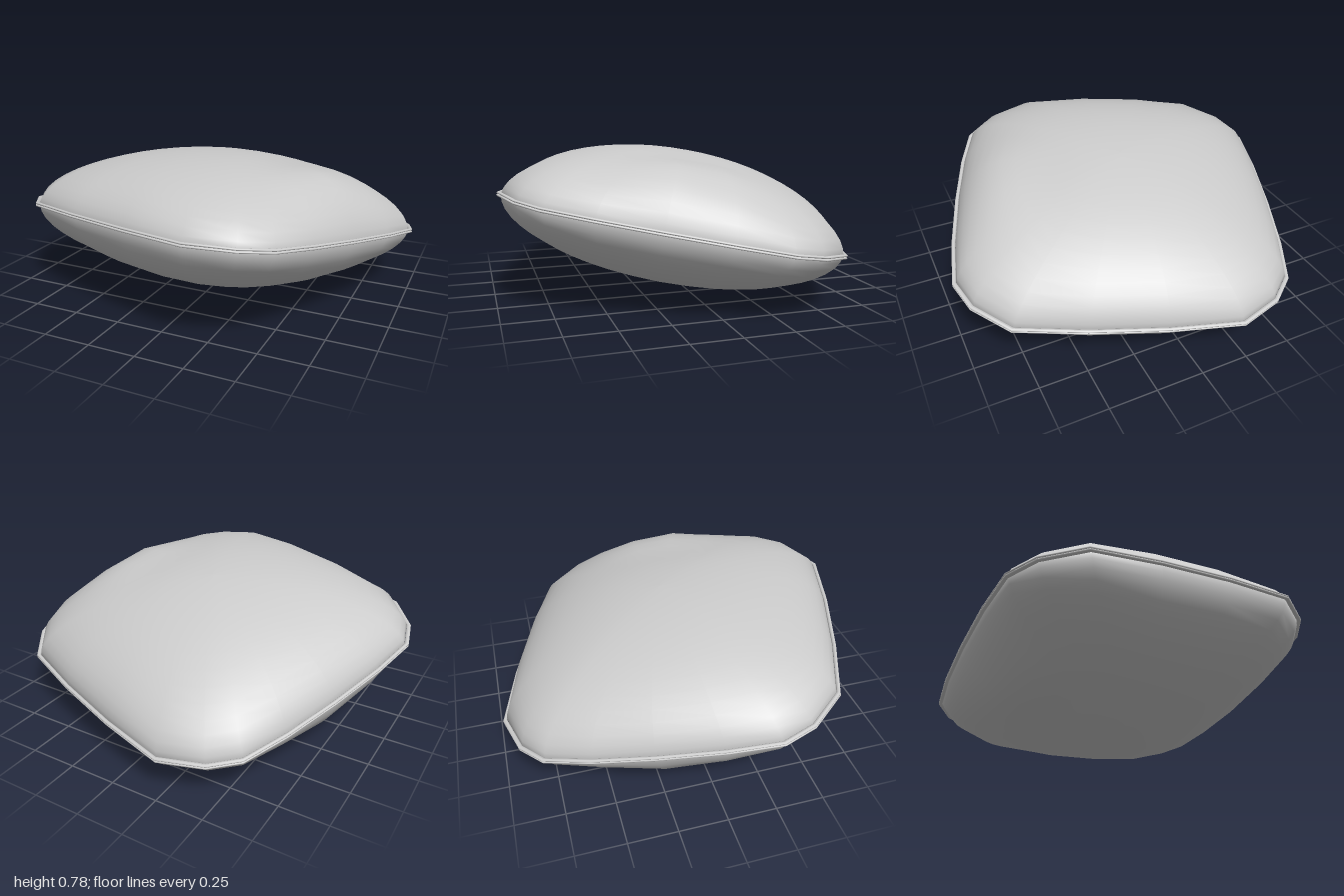
import * as THREE from 'three';

// Half of the seam outline (x, z); the other half is its 180 degree turn
const HALF = [
  [-0.24, -0.98], [0.12, -0.88], [0.49, -0.75], [0.82, -0.61], [0.96, -0.42], [1.0, -0.255],
  [0.935, 0.0], [0.83, 0.31], [0.715, 0.6], [0.605, 0.82], [0.47, 0.92],
];
const TILT = 0.186;
const OUTLINE = [...HALF, ...HALF.map(([x, z]) => [-x, -z])]
  .map(([x, z]) => [x, z / Math.cos(TILT)]);

// Lofts the outline through rows; point(row fraction, x, z) returns [x, y, z]
function loft(rows, point) {
  const n = OUTLINE.length, positions = [], index = [];
  for (let i = 0; i <= rows; i++) {
    for (const [x, z] of OUTLINE) positions.push(...point(i / rows, x, z));
  }
  for (let i = 0; i < rows; i++) {
    for (let j = 0; j < n; j++) {
      const a = i * n + j, b = i * n + (j + 1) % n;
      index.push(a, b, a + n, b, b + n, a + n);
    }
  }
  const geometry = new THREE.BufferGeometry();
  geometry.setAttribute('position', new THREE.Float32BufferAttribute(positions, 3));
  geometry.setIndex(index);
  geometry.computeVertexNormals();
  return geometry;
}

export function createModel() {
  const cushion = new THREE.Group();
  cushion.name = 'cushion';
  const material = new THREE.MeshStandardMaterial({ color: 0xcccccc });
  const add = (name, geometry) => {
    const mesh = new THREE.Mesh(geometry, material);
    mesh.name = name;
    cushion.add(mesh);
  };

  // Stuffed body: contours turn from the seam outline to round at the crown,
  // with a bulge by one side; the underside is the top turned through the centre
  add('stuffedBody', loft(28, (t, x, z) => {
    const a = t * Math.PI, c = Math.cos(a), s = Math.sin(a), up = Math.sign(c);
    const round = THREE.MathUtils.lerp(0.92 / Math.hypot(x, z), 1, s * s);
    const px = x * s * round * 0.978, pz = z * s * round * 0.978;
    const bulge = 0.3 * THREE.MathUtils.smoothstep(px * up, 0.35, 0.75)
      * Math.exp(-(((pz * up - 0.2) / 0.32) ** 2));
    return [px, 0.36 * up * Math.abs(c) ** 1.08 * (1 + bulge), pz];
  }));

  // Twin slim beads of piping along the seam
  const width = 0.011, height = 0.006;
  for (const [name, y] of [['upperPiping', height], ['lowerPiping', -height]]) {
    add(name, loft(10, (t, x, z) => {
      const a = t * Math.PI * 2, s = 1 - width + width * Math.sin(a);
      return [x * s, y + height * Math.cos(a), z * s];
    }));
  }

  // The whole cushion leans with its front edge raised
  cushion.rotation.x = -TILT;
  cushion.position.y = 0.392;
  const root = new THREE.Group();
  root.name = 'tiltedCushion';
  root.add(cushion);
  return root;
}
